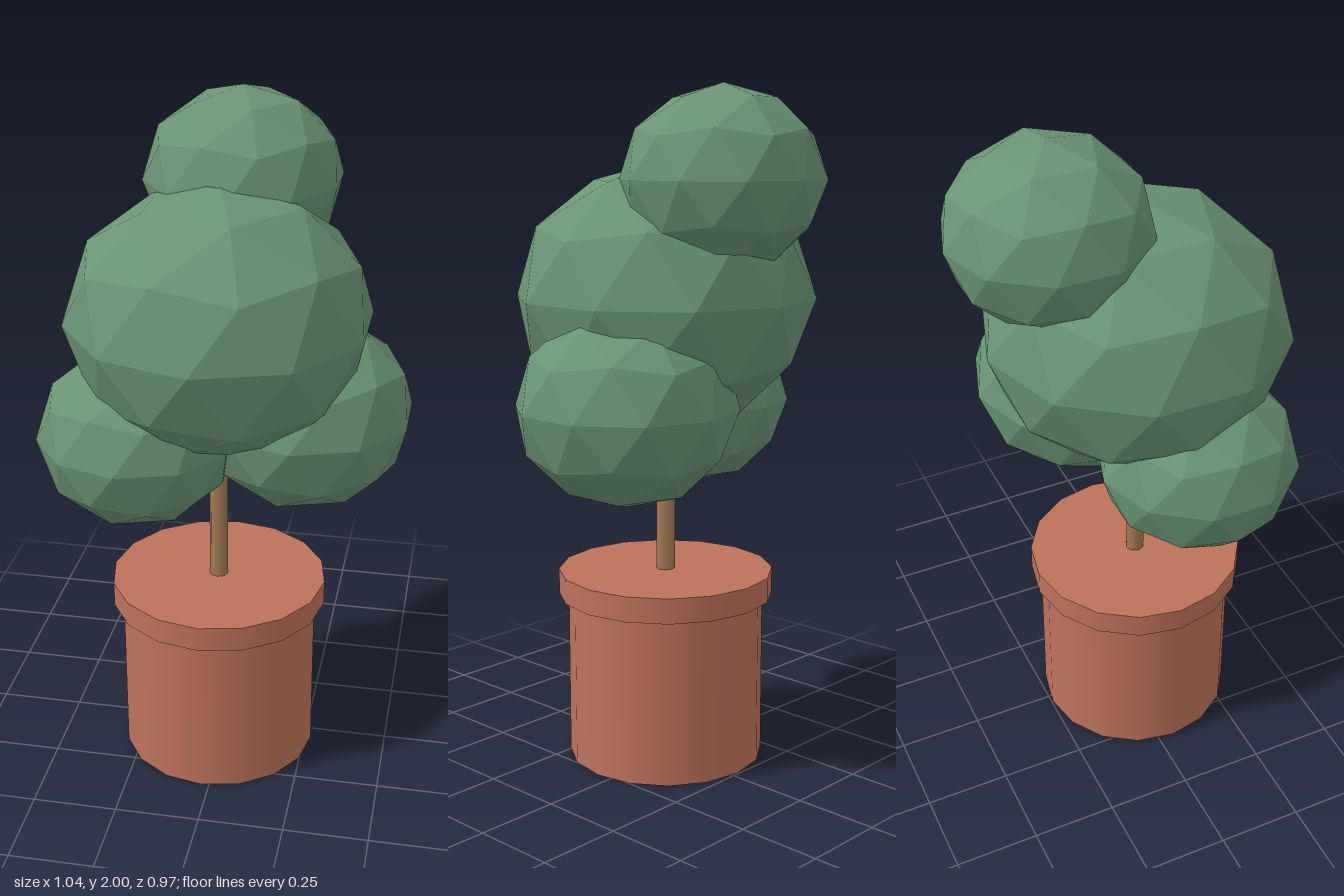
import * as THREE from 'three';

const foliageGreen = new THREE.MeshStandardMaterial({ name: 'foliage green', color: 0x6a9474, flatShading: true });
const terracotta = new THREE.MeshStandardMaterial({ name: 'terracotta', color: 0xbd725b });
const bark = new THREE.MeshStandardMaterial({ name: 'bark', color: 0xa37a54 });

// Axis shared by the pot and the trunk
const AXIS_X = -0.023;
const AXIS_Z = 0.047;

function addMesh(group, name, geometry, material, x, y, z) {
  const mesh = new THREE.Mesh(geometry, material);
  mesh.name = name;
  mesh.position.set(x, y, z);
  group.add(mesh);
  return mesh;
}

// Upright cylinder between two heights on the pot axis
function addColumn(group, name, radius, y0, y1, sides, material) {
  const geometry = new THREE.CylinderGeometry(radius, radius, y1 - y0, sides);
  addMesh(group, name, geometry, material, AXIS_X, (y0 + y1) / 2, AXIS_Z);
}

export function createModel() {
  const model = new THREE.Group();
  model.name = 'pottedTree';

  // Pot with a wider rim, and the trunk
  addColumn(model, 'pot', 0.293, 0, 0.51, 16, terracotta);
  addColumn(model, 'potRim', 0.322, 0.5, 0.575, 16, terracotta);
  addColumn(model, 'trunk', 0.028, 0.56, 1.3, 8, bark);

  // Faceted ball with one corner straight up and the next ring turned to +x
  const ball = new THREE.IcosahedronGeometry(1, 1);
  ball.rotateX(-Math.atan((1 + Math.sqrt(5)) / 2));
  ball.rotateY(Math.PI / 2);

  // Slightly flattened clumps: name, radius, height radius, centre
  const clumps = [
    ['mainFoliage', 0.441, 0.392, -0.02, 1.397, 0.045],
    ['topFoliage', 0.29, 0.261, 0.005, 1.739, -0.198],
    ['rightFoliage', 0.29, 0.261, -0.243, 1.061, 0.134],
    ['leftFoliage', 0.32, 0.288, 0.216, 1.107, -0.029],
  ];
  for (const [name, radius, height, x, y, z] of clumps) {
    addMesh(model, name, ball, foliageGreen, x, y, z).scale.set(radius, height, radius);
  }

  return model;
}
